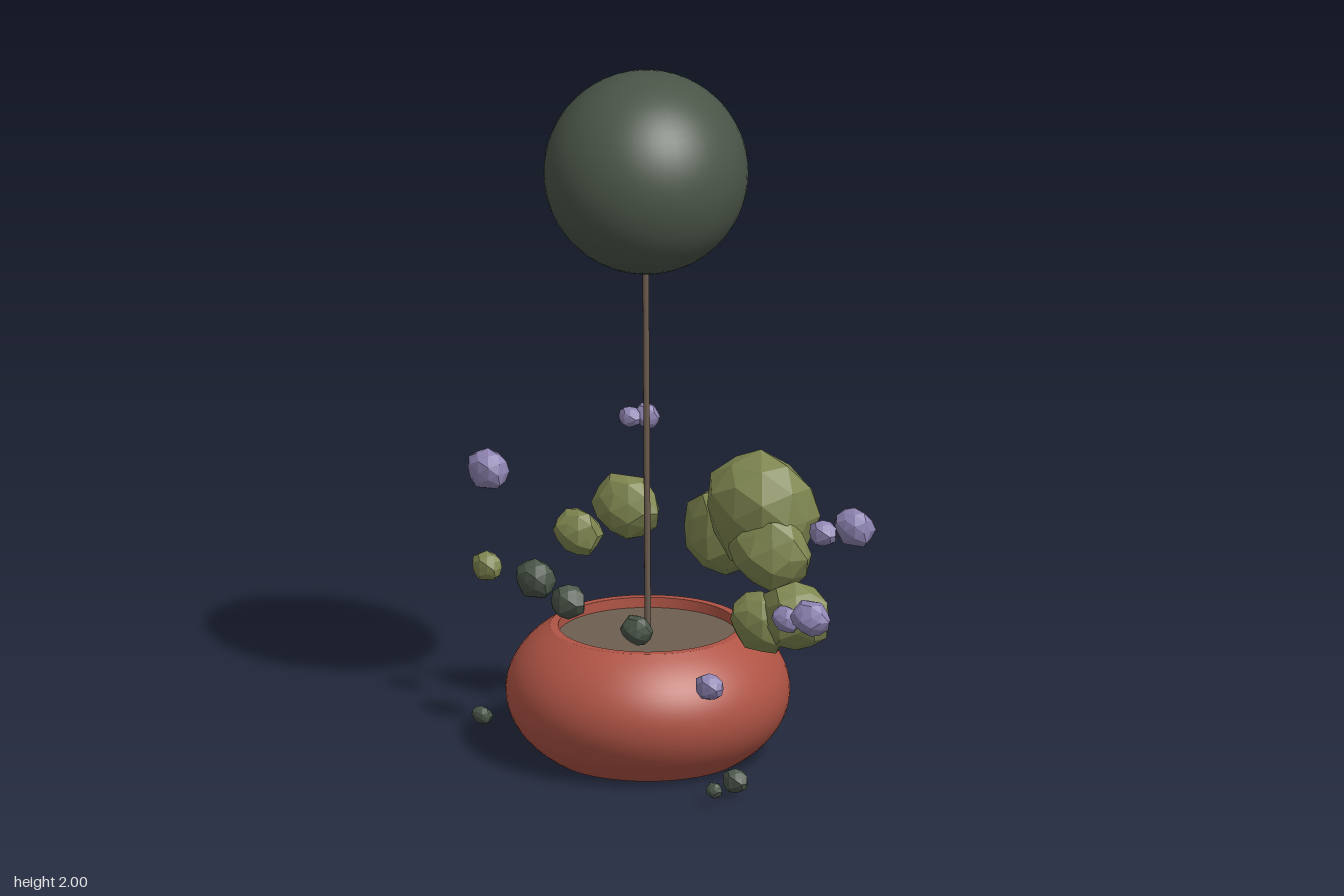
import * as THREE from 'three';

const make = (name, color) => new THREE.MeshStandardMaterial({ name, color });

export function createModel() {
  const terracotta = make('terracotta', 0xb05445);
  const soil = make('soil', 0x6d5f50);
  const bark = make('bark', 0x6b5b4e);
  const darkGreen = make('dark green', 0x4a5548);
  const olive = make('olive green', 0x7f8650);
  const purple = make('purple', 0x8e84b2);

  const model = new THREE.Group();
  model.name = 'pottedTopiary';
  const add = (name, geometry, material, x, y, z) => {
    const mesh = new THREE.Mesh(geometry, material);
    mesh.name = name;
    mesh.position.set(x, y, z);
    model.add(mesh);
    return mesh;
  };

  // Pot: squashed sphere cut flat at both ends, with a thin rim and inner wall
  const potX = -0.09, H = 0.375;
  const profile = [new THREE.Vector2(0, 0)];
  for (let i = 0; i <= 20; i++) {
    const t = THREE.MathUtils.degToRad(-46.6 + 93.2 * i / 20);
    profile.push(new THREE.Vector2(0.4 * Math.cos(t), H / 2 + 0.258 * Math.sin(t)));
  }
  const bowl = profile.slice(1);
  add('potBowl', new THREE.LatheGeometry(bowl, 64), terracotta, potX, 0, 0);
  add('potBase', new THREE.CircleGeometry(0.275, 64).rotateX(Math.PI / 2), terracotta, potX, 0, 0);
  add('potRim', new THREE.RingGeometry(0.252, 0.275, 64).rotateX(-Math.PI / 2), terracotta, potX, H, 0);
  const wall = [new THREE.Vector2(0.252, H), new THREE.Vector2(0.252, 0.33)];
  add('potInnerWall', new THREE.LatheGeometry(wall, 64), terracotta, potX, 0, 0);
  add('soil', new THREE.CircleGeometry(0.253, 64).rotateX(-Math.PI / 2), soil, potX, 0.345, 0);

  // Trunk, leaning very slightly forward, and the round crown
  const path = new THREE.LineCurve3(new THREE.Vector3(0, 0.33, 0), new THREE.Vector3(0, 1.5, 0.01));
  add('trunk', new THREE.TubeGeometry(path, 4, 0.009, 10), bark, potX, 0, 0);
  add('crown', new THREE.SphereGeometry(0.288, 48, 32), darkGreen, potX, 1.711, 0.008);

  // Faceted clump: icosphere with corners pushed in and out by a position rule
  const clump = (name, material, seed, [x, y, z, rx, ry, rz]) => {
    const g = new THREE.IcosahedronGeometry(1, 1);
    const p = g.attributes.position;
    const v = new THREE.Vector3();
    for (let i = 0; i < p.count; i++) {
      v.fromBufferAttribute(p, i);
      const k = 1 + 0.07 * Math.sin(v.x * 5.1 + v.y * 7.3 + v.z * 3.7 + seed * 1.9);
      p.setXYZ(i, v.x * k, v.y * k, v.z * k);
    }
    g.scale(rx, ry, rz);
    g.computeVertexNormals();
    add(name, g, material, x, y, z);
  };

  // Each row: centre x, y, z, then half-sizes
  const leaves = [
    [0.20, 0.735, -0.15, 0.18, 0.17, 0.125],
    [0.03, 0.63, -0.195, 0.14, 0.125, 0.085],
    [0.28, 0.645, -0.10, 0.13, 0.118, 0.088],
    [0.335, 0.472, 0.01, 0.10, 0.09, 0.065],
    [0.45, 0.51, -0.005, 0.112, 0.098, 0.077],
    [-0.30, 0.645, -0.155, 0.11, 0.095, 0.07],
    [-0.425, 0.557, -0.09, 0.077, 0.067, 0.055],
    [-0.667, 0.433, 0.02, 0.048, 0.043, 0.035],
  ];
  const pebbles = [
    [-0.39, 0.48, 0.135, 0.064, 0.057, 0.046],
    [-0.205, 0.47, 0.21, 0.055, 0.05, 0.04],
    [0.083, 0.455, 0.25, 0.051, 0.043, 0.036],
    [-0.57, 0.047, 0.155, 0.034, 0.026, 0.023],
    [0.373, 0.05, 0.166, 0.042, 0.035, 0.028],
    [0.385, 0.05, 0.27, 0.026, 0.023, 0.019],
  ];
  const blossoms = [
    [-0.665, 0.718, 0.018, 0.067, 0.059, 0.046],
    [-0.195, 0.955, -0.045, 0.036, 0.03, 0.025],
    [-0.165, 0.955, -0.085, 0.04, 0.037, 0.03],
    [0.665, 0.815, -0.008, 0.065, 0.056, 0.044],
    [0.56, 0.78, 0.005, 0.045, 0.037, 0.031],
    [0.58, 0.552, 0.08, 0.063, 0.052, 0.044],
    [0.48, 0.525, 0.07, 0.047, 0.038, 0.032],
    [0.365, 0.35, 0.268, 0.046, 0.038, 0.032],
  ];
  leaves.forEach((c, i) => clump('leafClump', olive, i, c));
  pebbles.forEach((c, i) => clump('darkClump', darkGreen, i + 10, c));
  blossoms.forEach((c, i) => clump('blossom', purple, i + 20, c));
  return model;
}
